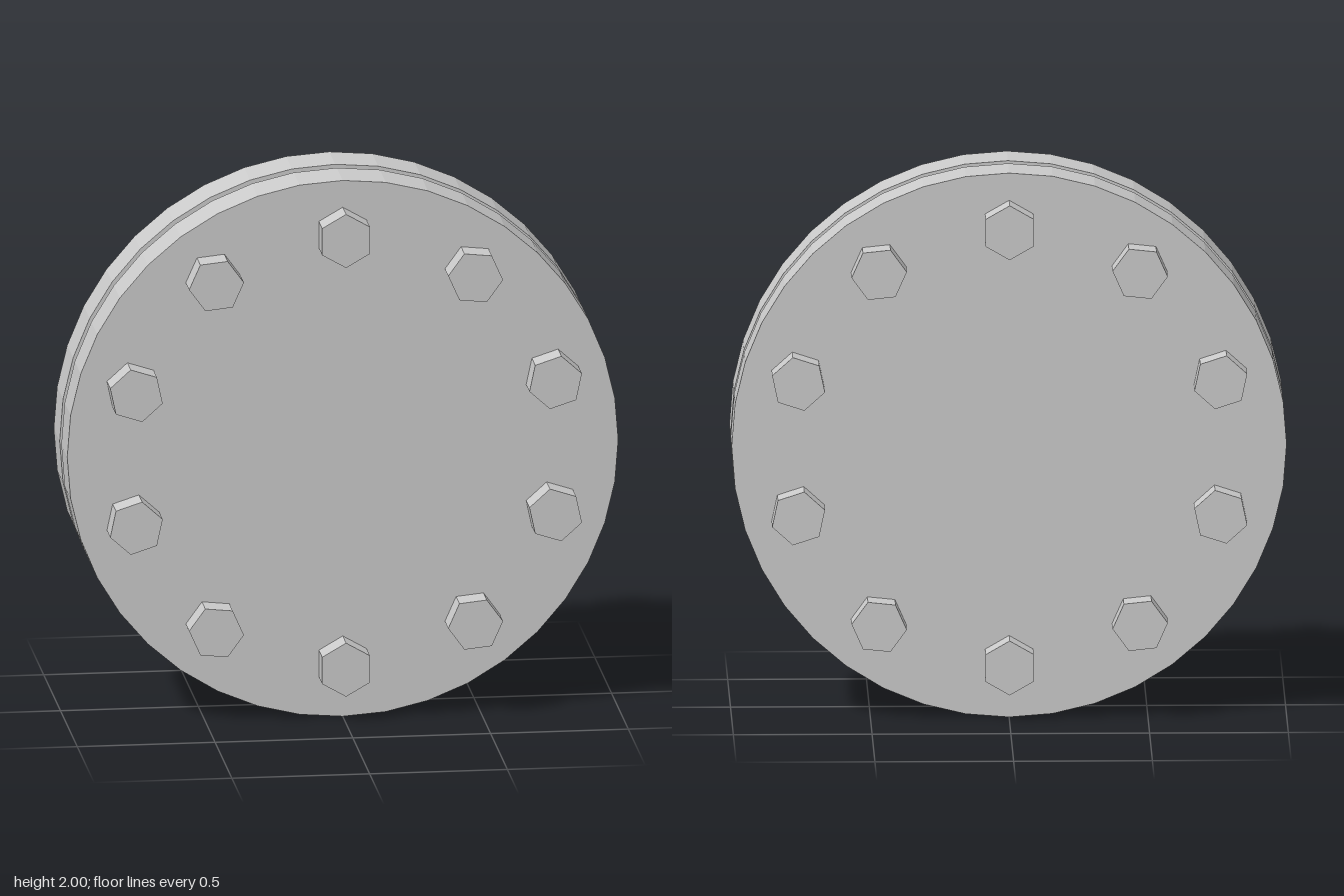
import * as THREE from 'three';

const material = new THREE.MeshStandardMaterial({ color: 0xcccccc, flatShading: true });

// Faceted cylinder lying along z, with one corner pointing straight up
function zCylinder(name, radius, depth, sides) {
  const geometry = new THREE.CylinderGeometry(radius, radius, depth, sides).rotateX(Math.PI / 2);
  const mesh = new THREE.Mesh(geometry, material);
  mesh.name = name;
  return mesh;
}

export function createModel() {
  const model = new THREE.Group();
  model.name = 'boltedFlange';

  // Two thick discs with a narrow open gap between them
  for (const side of [1, -1]) {
    const disc = zCylinder(side > 0 ? 'frontDisc' : 'backDisc', 1, 0.175, 40);
    disc.position.set(0, 1, side * 0.1125);
    model.add(disc);
  }

  // Ring of hexagonal bolts through both discs, each with a corner pointing outward
  const bolts = new THREE.Group();
  bolts.name = 'bolts';
  bolts.position.y = 1;
  const count = 10;
  for (let i = 0; i < count; i++) {
    const turn = (i / count) * Math.PI * 2;
    const bolt = zCylinder('bolt', 0.1, 0.6, 6);
    bolt.position.set(-Math.sin(turn) * 0.8, Math.cos(turn) * 0.8, 0);
    bolt.rotation.z = turn;
    bolts.add(bolt);
  }
  model.add(bolts);

  return model;
}
